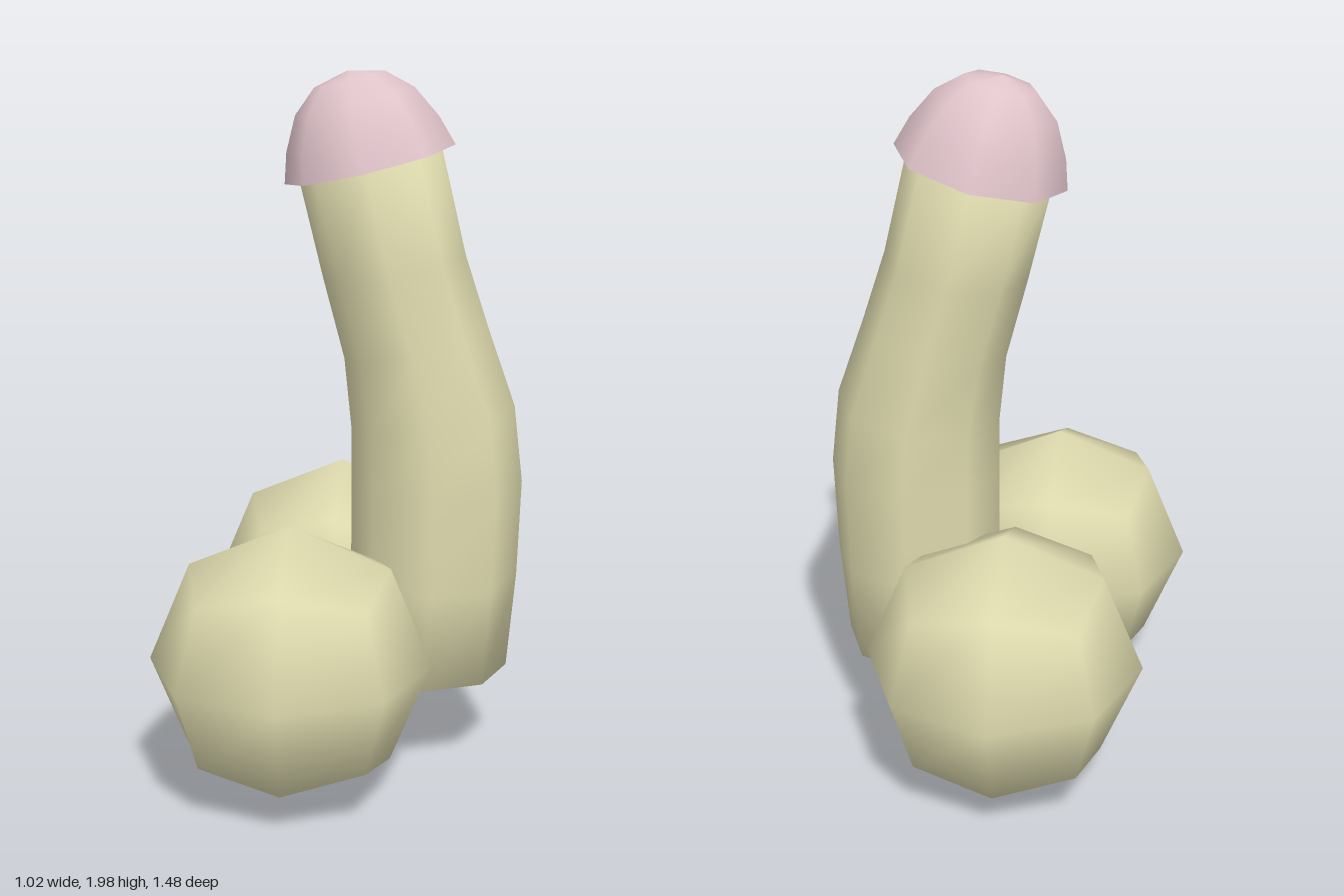
import * as THREE from 'three';

const SIDES = 8;

// Closed smooth tube through octagonal rings: [leftX, leftY, rightX, rightY, halfDepth]
function loft(rings, z) {
  const pos = [], idx = [];
  const centre = ([lx, ly, rx, ry]) => [(lx + rx) / 2, (ly + ry) / 2, z];
  for (const ring of rings) {
    const [lx, ly, rx, ry, depth] = ring;
    const [cx, cy] = centre(ring);
    for (let j = 0; j < SIDES; j++) {
      const a = (j / SIDES) * Math.PI * 2;
      const c = Math.cos(a) / 2;
      pos.push(cx + (rx - lx) * c, cy + (ry - ly) * c, z + depth * Math.sin(a));
    }
  }
  const bottom = rings.length * SIDES, top = bottom + 1;
  pos.push(...centre(rings[0]), ...centre(rings[rings.length - 1]));
  for (let j = 0; j < SIDES; j++) {
    const k = (j + 1) % SIDES;
    for (let i = 0; i < rings.length - 1; i++) {
      const a = i * SIDES + j, c = i * SIDES + k, b = a + SIDES, d = c + SIDES;
      idx.push(a, b, c, b, d, c);
    }
    const last = (rings.length - 1) * SIDES;
    idx.push(bottom, j, k, top, last + k, last + j);
  }
  const geo = new THREE.BufferGeometry();
  geo.setAttribute('position', new THREE.Float32BufferAttribute(pos, 3));
  geo.setIndex(idx);
  geo.computeVertexNormals();
  return geo;
}

// Low-poly ball: a subdivided cube pushed out onto a sphere
function cubeSphere(radius) {
  const geo = new THREE.BoxGeometry(2, 2, 2, 2, 2, 2);
  const p = geo.attributes.position, n = geo.attributes.normal;
  const v = new THREE.Vector3();
  for (let i = 0; i < p.count; i++) {
    v.fromBufferAttribute(p, i).normalize();
    n.setXYZ(i, v.x, v.y, v.z);
    p.setXYZ(i, v.x * radius, v.y * radius, v.z * radius);
  }
  return geo;
}

export function createModel() {
  const model = new THREE.Group();
  const cream = new THREE.MeshStandardMaterial({ color: 0xdedaae });
  cream.name = 'cream';
  const pink = new THREE.MeshStandardMaterial({ color: 0xe0c4ca });
  pink.name = 'palePink';

  const add = (name, geo, mat, parent = model) => {
    const mesh = new THREE.Mesh(geo, mat);
    mesh.name = name;
    parent.add(mesh);
    return mesh;
  };

  // Curved shaft, leaning toward -x at the top
  add('shaft', loft([
    [0.02, 0.27, 0.475, 0.27, 0.235],
    [0.02, 0.55, 0.5, 0.55, 0.242],
    [0.02, 0.81, 0.51, 0.83, 0.238],
    [0.02, 0.98, 0.485, 1.05, 0.23],
    [0.0, 1.18, 0.405, 1.28, 0.22],
    [-0.06, 1.41, 0.34, 1.48, 0.208],
    [-0.125, 1.68, 0.27, 1.78, 0.2],
  ], -0.01), cream);

  // Front and back balls
  const ball = cubeSphere(0.392);
  add('frontBall', ball, cream).position.set(-0.12, 0.397, 0.35);
  add('backBall', ball, cream).position.set(-0.035, 0.397, -0.35);

  // Tilted dome with a flat underside
  const tip = new THREE.Group();
  tip.name = 'tip';
  tip.position.set(0.07, 1.73, -0.01);
  tip.rotation.z = 0.237;
  model.add(tip);
  const profile = [[0.244, 0], [0.218, 0.085], [0.17, 0.178], [0.1, 0.24], [0, 0.263]]
    .map(([r, y]) => new THREE.Vector2(r, y));
  add('tipDome', new THREE.LatheGeometry(profile, SIDES), pink, tip);
  add('tipUnderside', new THREE.CircleGeometry(0.244, SIDES).rotateX(Math.PI / 2), pink, tip);

  return model;
}
